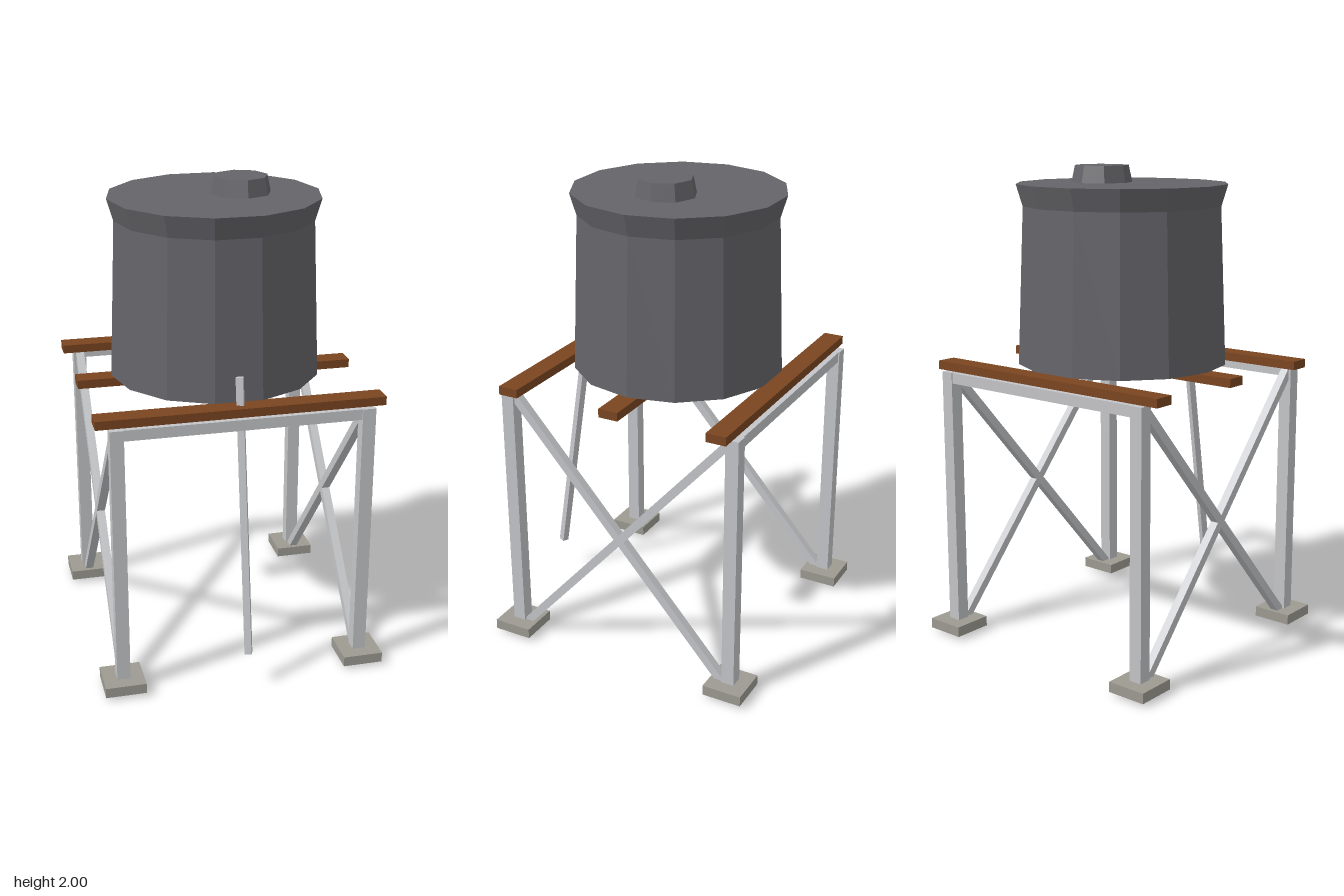
import * as THREE from 'three';

export function createModel() {
  const model = new THREE.Group();
  model.name = 'waterTankStand';

  const material = (name, color, flatShading = true) => {
    const m = new THREE.MeshStandardMaterial({ color, flatShading });
    m.name = name;
    return m;
  };
  const plastic = material('dark grey plastic', 0x656469);
  const steel = material('galvanised steel', 0xc4c5c8);
  const wood = material('brown wood', 0x7a4520);
  const concrete = material('concrete', 0x9c9a91);

  const add = (name, geometry, mat, x, y, z) => {
    const mesh = new THREE.Mesh(geometry, mat);
    mesh.name = name;
    mesh.position.set(x, y, z);
    model.add(mesh);
    return mesh;
  };
  const box = (name, mat, w, h, d, x, y, z) =>
    add(name, new THREE.BoxGeometry(w, h, d), mat, x, y, z);

  // Square bar between two points in the y-z plane, at a given x
  const bar = (name, size, x, [y0, z0], [y1, z1], twist = 0) => {
    const dy = y1 - y0, dz = z1 - z0;
    const geometry = new THREE.BoxGeometry(size, Math.hypot(dy, dz), size);
    geometry.rotateY(twist);
    const mesh = add(name, geometry, steel, x, (y0 + y1) / 2, (z0 + z1) / 2);
    mesh.rotation.x = Math.atan2(dz, dy);
  };

  const centreZ = -0.023;

  // Tank: tapered body, flared rim, flat top and bottom
  const profile = [[0, 1.19], [0.44, 1.19], [0.413, 1.84], [0.44, 1.93], [0, 1.93]]
    .map(([r, y]) => new THREE.Vector2(r, y));
  const tank = new THREE.LatheGeometry(profile, 14, Math.PI / 2);
  add('tank', tank, plastic, 0, 0, centreZ);

  // Off-centre filler cap, corners on the axes
  add('cap', new THREE.CylinderGeometry(0.112, 0.127, 0.07, 8), plastic, 0.11, 1.965, centreZ);

  // Planks under the tank
  for (const z of [-0.487, centreZ, 0.442]) {
    box('plank', wood, 1.172, 0.036, 0.085, 0, 1.173, z);
  }

  // Front and back frames: legs on footings joined by a top beam
  for (const z of [-0.53, 0.484]) {
    box('beam', steel, 0.96, 0.045, 0.045, 0, 1.132, z);
    for (const x of [-0.507, 0.507]) {
      box('leg', steel, 0.055, 1.095, 0.055, x, 0.6075, z);
      box('footing', concrete, 0.168, 0.043, 0.168, x, 0.0375, z);
    }
  }

  // Crossed braces on both sides
  for (const x of [-0.507, 0.507]) {
    bar('brace', 0.035, x, [0.013, 0.483], [1.15, -0.527]);
    bar('brace', 0.035, x, [0.013, -0.529], [1.15, 0.481]);
  }

  // Leaning outlet pipe at the front
  bar('pipe', 0.029, -0.002, [0.158, 0.592], [1.298, 0.416], -0.38);

  return model;
}
